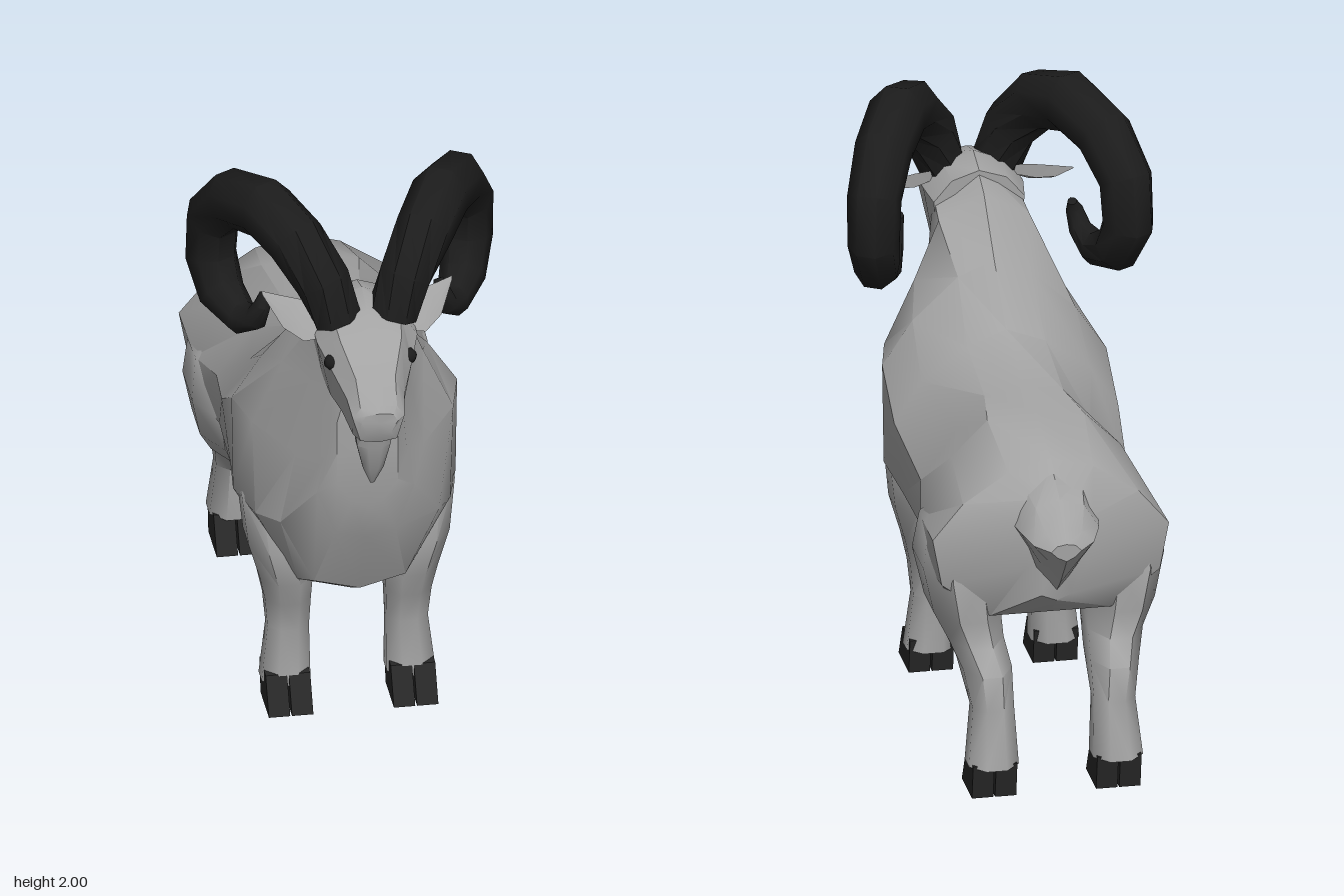
import * as THREE from 'three';
import { toCreasedNormals } from 'three/addons/utils/BufferGeometryUtils.js';

const V = (x, y, z) => new THREE.Vector3(x, y, z);

// Skin closed rings of points into a capped solid, facing outwards
function loft(rings, crease = 0.6) {
  const n = rings[0].length, pts = rings.flat(), faces = [];
  for (let i = 0; i < rings.length - 1; i++)
    for (let j = 0; j < n; j++) {
      const a = i * n + j, b = i * n + (j + 1) % n;
      faces.push([a, b, b + n], [a, b + n, a + n]);
    }
  const all = [...pts];
  [0, rings.length - 1].forEach((r, end) => {
    const c = all.length;
    all.push(rings[r].reduce((s, p) => s.add(p), V(0, 0, 0)).divideScalar(n));
    for (let j = 0; j < n; j++) {
      const a = r * n + j, b = r * n + (j + 1) % n;
      faces.push(end ? [a, b, c] : [b, a, c]);
    }
  });
  let volume = 0;
  const cross = V(0, 0, 0);
  for (const [a, b, c] of faces) volume += all[a].dot(cross.crossVectors(all[b], all[c]));
  if (volume < 0) faces.forEach(f => f.reverse());
  const g = new THREE.BufferGeometry().setFromPoints(all);
  g.setIndex(faces.flat());
  return toCreasedNormals(g, crease);
}

// Symmetric ring at depth z from its half outline, listed top to bottom as [x, y]
const halfRing = ([z, ...half]) => [
  ...half.map(([x, y]) => V(x, y, z)),
  ...half.slice(1, -1).reverse().map(([x, y]) => V(-x, y, z)),
];

// Eight-sided level ring for limbs
function limbRing([y, cx, cz, rx, rz], side) {
  return Array.from({ length: 8 }, (_, i) => {
    const a = (i + 0.5) * Math.PI / 4, k = 1 / Math.cos(Math.PI / 8);
    return V(side * (cx + Math.cos(a) * rx * k), y, cz + Math.sin(a) * rz * k);
  });
}

const TORSO = [
  [-0.79, [0, 1.06], [0.07, 1.04], [0.12, 0.97], [0.13, 0.88], [0.1, 0.8], [0.05, 0.7], [0, 0.68]],
  [-0.69, [0, 1.14], [0.14, 1.1], [0.29, 1.0], [0.39, 0.88], [0.36, 0.72], [0.2, 0.6], [0, 0.6]],
  [-0.44, [0, 1.2], [0.16, 1.18], [0.28, 1.06], [0.38, 0.86], [0.38, 0.72], [0.26, 0.54], [0, 0.5]],
  [-0.24, [0, 1.2], [0.13, 1.18], [0.22, 1.07], [0.34, 0.9], [0.33, 0.72], [0.17, 0.49], [0, 0.46]],
  [0.05, [0, 1.28], [0.13, 1.23], [0.28, 1.12], [0.37, 0.98], [0.34, 0.73], [0.17, 0.47], [0, 0.43]],
  [0.25, [0, 1.44], [0.12, 1.39], [0.27, 1.25], [0.37, 1.1], [0.365, 0.76], [0.2, 0.47], [0, 0.41]],
  [0.42, [0, 1.6], [0.15, 1.52], [0.23, 1.32], [0.33, 1.1], [0.32, 0.76], [0.18, 0.5], [0, 0.45]],
  [0.56, [0, 1.66], [0.14, 1.55], [0.16, 1.32], [0.21, 1.05], [0.26, 0.8], [0.15, 0.57], [0, 0.53]],
  [0.68, [0, 1.5], [0.1, 1.45], [0.12, 1.3], [0.135, 1.1], [0.16, 0.97], [0.1, 0.81], [0, 0.79]],
  [0.72, [0, 1.4], [0.07, 1.36], [0.1, 1.25], [0.1, 1.13], [0.1, 1.02], [0.05, 0.95], [0, 0.93]],
];
const HEAD = [
  [0.5, [0, 1.65], [0.09, 1.62], [0.15, 1.55], [0.13, 1.35], [0, 1.3]],
  [0.6, [0, 1.68], [0.1, 1.64], [0.165, 1.56], [0.13, 1.36], [0, 1.3]],
  [0.71, [0, 1.65], [0.11, 1.63], [0.165, 1.55], [0.12, 1.35], [0, 1.32]],
  [0.79, [0, 1.6], [0.1, 1.59], [0.135, 1.5], [0.095, 1.33], [0, 1.305]],
  [0.88, [0, 1.5], [0.065, 1.5], [0.095, 1.43], [0.075, 1.295], [0, 1.275]],
  [0.945, [0, 1.43], [0.06, 1.425], [0.085, 1.39], [0.06, 1.305], [0, 1.295]],
  [0.962, [0, 1.41], [0.045, 1.405], [0.06, 1.38], [0.04, 1.34], [0, 1.335]],
];
const TAIL = [
  [-0.7, [0, 1.12], [0.1, 1.07], [0.15, 0.95], [0.08, 0.75], [0, 0.64]],
  [-0.84, [0, 1.055], [0.08, 1.03], [0.13, 0.95], [0.06, 0.83], [0, 0.76]],
  [-0.91, [0, 0.99], [0.06, 0.97], [0.1, 0.93], [0.05, 0.87], [0, 0.835]],
  [-0.953, [0, 0.945], [0.03, 0.94], [0.05, 0.92], [0.03, 0.9], [0, 0.885]],
];
// Limb rows: y, centre x, centre z, half width, half depth
const FRONT_LEG = [
  [0.88, 0.22, 0.28, 0.08, 0.08], [0.78, 0.25, 0.28, 0.1, 0.12], [0.6, 0.235, 0.29, 0.095, 0.14],
  [0.47, 0.205, 0.3, 0.087, 0.11], [0.38, 0.198, 0.3, 0.075, 0.08],
  [0.27, 0.195, 0.295, 0.068, 0.058], [0.08, 0.205, 0.305, 0.08, 0.078],
];
const HIND_LEG = [
  [0.97, 0.2, -0.48, 0.08, 0.1], [0.87, 0.26, -0.49, 0.12, 0.18], [0.73, 0.275, -0.475, 0.122, 0.235],
  [0.58, 0.255, -0.5, 0.11, 0.2], [0.49, 0.23, -0.54, 0.09, 0.165], [0.42, 0.21, -0.635, 0.08, 0.15],
  [0.3, 0.2, -0.715, 0.068, 0.068], [0.11, 0.205, -0.74, 0.082, 0.09],
];
const BEARD = [
  [1.31, 0, 0.835, 0.065, 0.05], [1.23, 0, 0.83, 0.055, 0.042],
  [1.14, 0, 0.825, 0.034, 0.028], [1.07, 0, 0.81, 0.007, 0.006],
];
// Horn rows: x, y, z, radius
const HORN = [
  [0.09, 1.61, 0.665, 0.082], [0.135, 1.74, 0.65, 0.09], [0.21, 1.855, 0.57, 0.095],
  [0.285, 1.9, 0.43, 0.098], [0.365, 1.85, 0.26, 0.094], [0.415, 1.73, 0.155, 0.088],
  [0.42, 1.58, 0.14, 0.084], [0.395, 1.47, 0.205, 0.076], [0.345, 1.43, 0.31, 0.055],
  [0.31, 1.47, 0.385, 0.038], [0.295, 1.53, 0.41, 0.028], [0.285, 1.565, 0.39, 0.015],
];

function hornRings(side) {
  const at = i => V(...HORN[Math.min(Math.max(i, 0), HORN.length - 1)].slice(0, 3));
  return HORN.map((row, i) => {
    const across = V(1, 0, Math.min(i * 0.2, 0.56)).normalize();
    const along = at(i + 1).sub(at(i - 1)).normalize();
    const out = V(0, 0, 0).crossVectors(along, across).normalize();
    const flat = V(0, 0, 0).crossVectors(out, along);
    return Array.from({ length: 8 }, (_, k) => {
      const a = (k + 0.5) * Math.PI / 4, r = row[3] * 1.06;
      const p = at(i).addScaledVector(out, Math.cos(a) * r).addScaledVector(flat, Math.sin(a) * r * 0.95);
      p.x *= side;
      return p;
    });
  });
}

// Leaf-shaped ear sweeping out and back; rows: x, y, z, half height, half thickness
function earRings(side) {
  return [[0.12, 1.585, 0.65, 0.03, 0.04], [0.2, 1.582, 0.615, 0.048, 0.055],
    [0.26, 1.595, 0.57, 0.038, 0.04], [0.312, 1.632, 0.505, 0.004, 0.004]]
    .map(([x, y, z, h, t]) => [V(x, y + h, z - t), V(x, y, z + t * 0.2), V(x, y - h, z + t), V(x, y, z - t)]
      .map(p => p.setX(p.x * side)));
}

// One half of a cloven hoof
function toeGeometry() {
  const shape = new THREE.Shape([[0.27, 0], [0.44, 0], [0.375, 0.12], [0.25, 0.12]]
    .map(p => new THREE.Vector2(...p)));
  return new THREE.ExtrudeGeometry(shape, { depth: 0.07, bevelEnabled: false })
    .translate(0, 0, -0.035).rotateY(-Math.PI / 2);
}

export function createModel() {
  const model = new THREE.Group();
  model.name = 'ram';
  const material = (name, color) => Object.assign(new THREE.MeshStandardMaterial({ color }), { name });
  const coat = material('grey coat', 0xa3a3a3);
  const horn = material('dark horn', 0x1c1c1c);
  const hoof = material('dark hoof', 0x272727);
  const add = (name, geometry, mat) => {
    const mesh = new THREE.Mesh(geometry, mat);
    mesh.name = name;
    model.add(mesh);
    return mesh;
  };

  // Body along the centre line
  add('torso', loft(TORSO.map(halfRing), 0.6), coat);
  add('head', loft(HEAD.map(halfRing)), coat);
  add('tail', loft(TAIL.map(halfRing)), coat);
  add('beard', loft(BEARD.map(r => limbRing(r, 1)), 0.9), coat);

  // Paired parts
  for (const side of [1, -1]) {
    const label = side > 0 ? 'left' : 'right';
    add(label + 'Horn', loft(hornRings(side), 0.9), horn);
    add(label + 'Ear', loft(earRings(side)), coat);
    add(label + 'Eye', new THREE.SphereGeometry(0.027, 8, 6), horn).position.set(side * 0.126, 1.51, 0.775);
    add(label + 'FrontLeg', loft(FRONT_LEG.map(r => limbRing(r, side)), 0.9), coat);
    add(label + 'HindLeg', loft(HIND_LEG.map(r => limbRing(r, side)), 0.9), coat);
    for (const [end, z] of [['Front', 0], ['Hind', -1.05]])
      for (const toe of [-1, 1])
        add(label + end + 'Toe', toeGeometry(), hoof).position.set(side * 0.205 + toe * 0.038, 0, z);
  }
  return model;
}
